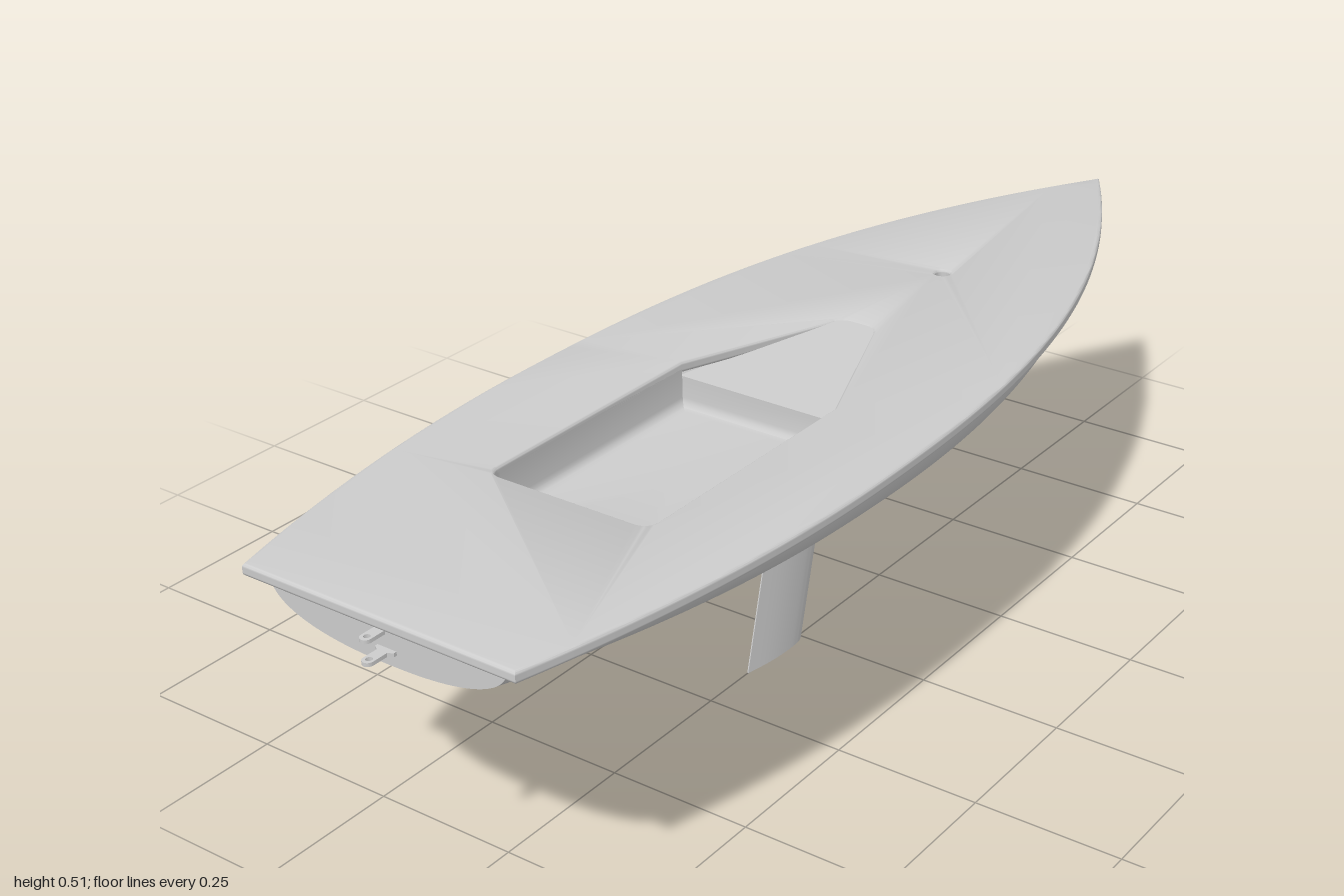
import * as THREE from 'three';
import { toCreasedNormals } from 'three/addons/utils/BufferGeometryUtils.js';

const DECK_TOP = 0.515, DECK_LOW = 0.495;
const WELL = { w: 0.147, front: 0.115, back: 0.58, r: 0.025, floor: 0.437 };
const material = new THREE.MeshStandardMaterial({ color: 0xcccccc });
const sheet = new THREE.MeshStandardMaterial({ color: 0xcccccc, side: THREE.DoubleSide });

function part(name, geometry, mat = material) {
  const mesh = new THREE.Mesh(geometry, mat);
  mesh.name = name;
  return mesh;
}

// Skin over rows of [x, y, z] points; the last row can be closed with a fan
function loft(rows, { closed = false, cap = false, crease = 0.5 } = {}) {
  const n = rows[0].length, index = [];
  const points = rows.flat();
  for (let r = 0; r < rows.length - 1; r++) {
    for (let i = 0; i < (closed ? n : n - 1); i++) {
      const a = r * n + i, b = r * n + (i + 1) % n;
      index.push(a, b, a + n, b, b + n, a + n);
    }
  }
  if (cap) {
    const start = (rows.length - 1) * n, last = rows.at(-1);
    points.push([0, 1, 2].map(k => (Math.min(...last.map(p => p[k])) + Math.max(...last.map(p => p[k]))) / 2));
    for (let i = 0; i < n; i++) index.push(start + i, start + (i + 1) % n, points.length - 1);
  }
  const g = new THREE.BufferGeometry();
  g.setAttribute('position', new THREE.Float32BufferAttribute(points.flat(), 3));
  g.setIndex(index);
  return toCreasedNormals(g, crease);
}

// Half width of the deck at z
function deckHalf(z) {
  return z < 0.27
    ? 0.337 * (1 - Math.pow(Math.min(1, (0.27 - z) / 1.27), 2.4))
    : 0.337 - 0.094 * ((z - 0.27) / 0.705) ** 2;
}

// Height of the hull bottom at z
function bottom(z) {
  return z > -0.2
    ? 0.325 + 0.105 * Math.pow((z + 0.2) / 1.155, 1.7)
    : 0.325 + 0.104 * Math.pow((-0.2 - z) / 0.77, 2.93);
}

// Hull: rounded sections, cut by a sloping flat stem at the bow
function hull() {
  const rows = [], N = 96, M = 48, top = 0.5;
  for (let r = 0; r <= N; r++) {
    const z = -0.965 + 1.92 * r / N;
    const w = 0.905 * deckHalf(-1 + (z + 0.965) * 1.0156) - 0.014 * Math.max(0, (z - 0.27) / 0.685) ** 2;
    const stem = 0.395 - (z + 0.865) * 1.05;
    const row = [];
    for (let i = 0; i <= M; i++) {
      const a = Math.PI * i / M, c = Math.cos(a), e = 2 / 2.3;
      const x = w * Math.sign(c) * Math.pow(Math.abs(c), e);
      const y = top - (top - bottom(z)) * Math.pow(Math.abs(Math.sin(a)), e);
      row.push([x, Math.min(top, Math.max(y, stem)), z]);
    }
    rows.push(row);
  }
  return part('hull', loft(rows, { cap: true }), sheet);
}

// Deck slab with a rounded rim, cockpit opening and mast hole
function deck() {
  const side = [], N = 64;
  for (let i = 0; i <= N; i++) {
    const z = -1 + 1.975 * i / N;
    side.push(new THREE.Vector2(deckHalf(z), z));
  }
  const shape = new THREE.Shape([...side, ...side.slice(1).reverse().map(p => new THREE.Vector2(-p.x, p.y))]);
  const { w, front, back, r } = WELL;
  const opening = new THREE.Path();
  opening.moveTo(w, front);
  opening.lineTo(w, back - r);
  opening.quadraticCurveTo(w, back, w - r, back);
  opening.lineTo(-w + r, back);
  opening.quadraticCurveTo(-w, back, -w, back - r);
  opening.lineTo(-w, front);
  opening.lineTo(-0.042, -0.15);
  opening.quadraticCurveTo(-0.034, -0.172, -0.015, -0.172);
  opening.lineTo(0.015, -0.172);
  opening.quadraticCurveTo(0.034, -0.172, 0.042, -0.15);
  opening.closePath();
  const mast = new THREE.Path();
  mast.absarc(0, -0.435, 0.013, 0, Math.PI * 2, true);
  shape.holes.push(opening, mast);
  const b = 0.006;
  const g = new THREE.ExtrudeGeometry(shape, {
    depth: DECK_TOP - DECK_LOW - 2 * b, bevelThickness: b, bevelSize: b, bevelOffset: -b,
    bevelSegments: 4, curveSegments: 10,
  });
  g.rotateX(Math.PI / 2).translate(0, DECK_TOP - b, 0);
  return part('deck', toCreasedNormals(g, 0.6));
}

// Cockpit well: rounded tub, its front wall ending at the ramp
function cockpit() {
  const { w, front, back, r, floor } = WELL;
  const levels = [[0.506, 0], [floor + 0.016, 0], [floor + 0.008, 0.002], [floor + 0.002, 0.008], [floor, 0.016]];
  const rows = levels.map(([y, inset], level) => {
    const row = [], x = w - inset, z0 = front + inset, z1 = back - inset;
    const y0 = level === 0 ? 0.49 : y;
    row.push([-x, y, z0 + 0.001], [-x, y0, z0], [x, y0, z0], [x, y, z0 + 0.001]);
    for (const s of [1, -1]) {
      for (let i = 0; i <= 6; i++) {
        const a = Math.PI / 2 * (s > 0 ? i / 6 : 1 - i / 6);
        row.push([s * (x - r + r * Math.cos(a)), y, z1 - r + r * Math.sin(a)]);
      }
    }
    return row;
  });
  return part('cockpitWell', loft(rows, { closed: true, cap: true, crease: 0.7 }), sheet);
}

// Shallow ramp sloping from the foredeck down to the cockpit
function ramp() {
  const rows = [[-0.18, 0.514, 0.048], [0.115, 0.49, 0.152]].map(([z, y, x]) => [[-x, y, z], [x, y, z]]);
  return part('cockpitRamp', loft(rows), sheet);
}

// Socket under the mast hole
function mastSocket() {
  const profile = [[0, 0.45], [0.013, 0.45], [0.013, 0.505]].map(p => new THREE.Vector2(...p));
  const mesh = part('mastSocket', toCreasedNormals(new THREE.LatheGeometry(profile, 24), 0.6), sheet);
  mesh.position.z = -0.435;
  return mesh;
}

// Raked centreboard with a foil section
function centreboard() {
  const shape = new THREE.Shape();
  shape.moveTo(0, 0);
  shape.bezierCurveTo(0.010, 0, 0.013, 0.018, 0.013, 0.045);
  shape.bezierCurveTo(0.013, 0.09, 0.006, 0.12, 0.001, 0.148);
  shape.lineTo(-0.001, 0.148);
  shape.bezierCurveTo(-0.006, 0.12, -0.013, 0.09, -0.013, 0.045);
  shape.bezierCurveTo(-0.013, 0.018, -0.010, 0, 0, 0);
  const g = new THREE.ExtrudeGeometry(shape, { depth: 0.36, bevelEnabled: false, curveSegments: 10 });
  g.rotateX(Math.PI / 2).translate(0, 0.36, 0);
  const p = g.attributes.position;
  for (let i = 0; i < p.count; i++) p.setZ(i, p.getZ(i) - 0.258 * p.getY(i));
  return part('centreboard', toCreasedNormals(g, 0.6));
}

// Rudder fitting: winged tongue with a pin hole
function rudderFitting(y) {
  const shape = new THREE.Shape();
  shape.moveTo(-0.017, 0.945);
  shape.lineTo(0.017, 0.945);
  shape.lineTo(0.017, 0.96);
  shape.lineTo(0.009, 0.965);
  shape.lineTo(0.009, 0.991);
  shape.absarc(0, 0.991, 0.009, 0, Math.PI, false);
  shape.lineTo(-0.009, 0.965);
  shape.lineTo(-0.017, 0.96);
  const hole = new THREE.Path();
  hole.absarc(0, 0.989, 0.005, 0, Math.PI * 2, true);
  shape.holes.push(hole);
  const g = new THREE.ExtrudeGeometry(shape, { depth: 0.006, bevelEnabled: false, curveSegments: 12 });
  g.rotateX(Math.PI / 2).translate(0, y + 0.003, 0);
  return part('rudderFitting', toCreasedNormals(g, 0.6));
}

export function createModel() {
  const group = new THREE.Group();
  group.name = 'sailingDinghy';
  group.add(hull(), deck(), cockpit(), ramp(), mastSocket(), centreboard());
  for (const y of [0.488, 0.453]) group.add(rudderFitting(y));
  return group;
}
